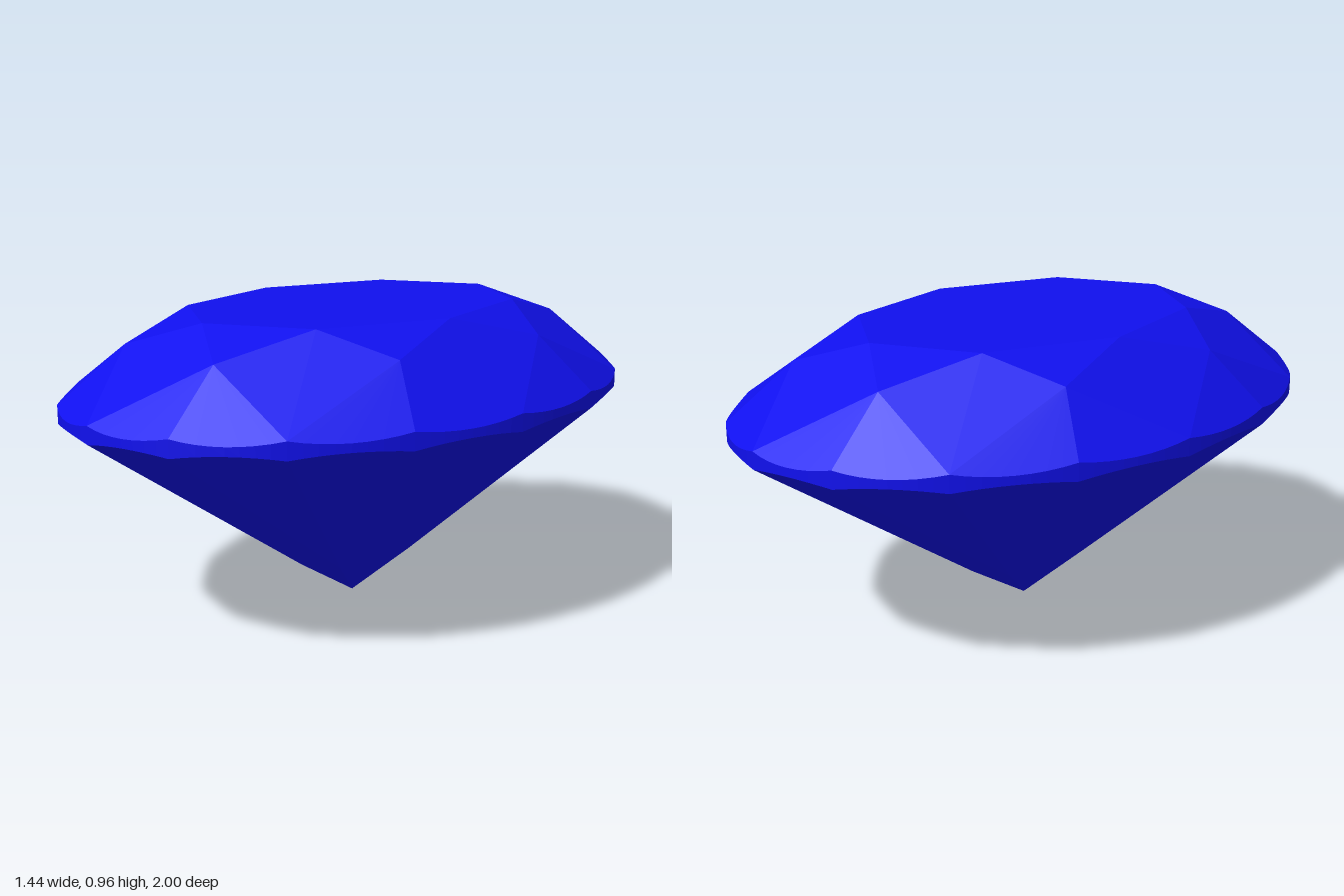
import * as THREE from 'three';

const STEP = Math.PI / 8;    // sixteen girdle divisions
const ARC = 8;               // segments along each girdle scallop
const WIDTH = 0.72;          // oval width relative to length
const TABLE_R = 0.595, TABLE_Y = 0.965;
const STAR_R = 0.78;
const GIRDLE_TOP = 0.725, GIRDLE_BOTTOM = 0.67;
const CULET = new THREE.Vector3(0, 0, 0);
const CENTRE = new THREE.Vector3(0, 0.6, 0);

// Point on the round stone; a counts girdle divisions from the front
const at = (a, r, y) => new THREE.Vector3(Math.sin(a * STEP) * r, y, Math.cos(a * STEP) * r);

// Crown mains set the height of the star points, pavilion mains that of the low points
const crownSlope = (TABLE_Y - GIRDLE_TOP) / (1 - TABLE_R);
const STAR_Y = TABLE_Y - (STAR_R * Math.cos(STEP) - TABLE_R) * crownSlope;
const LOW_R = 0.22;
const LOW_Y = GIRDLE_BOTTOM * LOW_R * Math.cos(STEP);

// Scalloped edge where the plane of a girdle facet cuts the round outline
function scallop(inner, i, y) {
  const plane = new THREE.Plane().setFromCoplanarPoints(inner, at(i, 1, y), at(i + 1, 1, y));
  const n = plane.normal;
  return Array.from({ length: ARC + 1 }, (_, k) => {
    const p = at(i + k / ARC, 1, 0);
    p.y = -(plane.constant + n.x * p.x + n.z * p.z) / n.y;
    return p;
  });
}

// Mesh from flat convex facets, each a loop of points turned to face outwards
function facetMesh(name, facets, material) {
  const pos = [];
  for (const f of facets) {
    for (let i = 1; i < f.length - 1; i++) {
      let [a, b, c] = [f[0], f[i], f[i + 1]];
      const normal = b.clone().sub(a).cross(c.clone().sub(a));
      if (normal.dot(a.clone().sub(CENTRE)) < 0) [b, c] = [c, b];
      for (const p of [a, b, c]) pos.push(p.x * WIDTH, p.y, p.z);
    }
  }
  const geometry = new THREE.BufferGeometry();
  geometry.setAttribute('position', new THREE.Float32BufferAttribute(pos, 3));
  geometry.computeVertexNormals();
  const mesh = new THREE.Mesh(geometry, material);
  mesh.name = name;
  return mesh;
}

export function createModel() {
  const group = new THREE.Group();
  group.name = 'ovalGem';
  const material = new THREE.MeshStandardMaterial({ color: 0x1010ee, flatShading: true });

  const table = [], stars = [], crownMains = [], upperGirdle = [];
  const girdle = [], lowerGirdle = [], pavilionMains = [];

  // Eightfold facets: table, stars, crown kites and pavilion kites
  for (let i = 0; i < 16; i += 2) {
    const corner = at(i, TABLE_R, TABLE_Y);
    table.push(corner);
    stars.push([corner, at(i + 1, STAR_R, STAR_Y), at(i + 2, TABLE_R, TABLE_Y)]);
    crownMains.push([corner, at(i - 1, STAR_R, STAR_Y), at(i, 1, GIRDLE_TOP), at(i + 1, STAR_R, STAR_Y)]);
    pavilionMains.push([CULET, at(i, LOW_R, LOW_Y), at(i + 1, 1, GIRDLE_BOTTOM), at(i + 2, LOW_R, LOW_Y)]);
  }

  // Sixteenfold facets either side of the girdle band
  for (let i = 0; i < 16; i++) {
    const odd = i % 2;
    const star = at(odd ? i : i + 1, STAR_R, STAR_Y);
    const low = at(odd ? i + 1 : i, LOW_R, LOW_Y);
    const top = scallop(star, i, GIRDLE_TOP);
    const bottom = scallop(low, i, GIRDLE_BOTTOM);
    upperGirdle.push([star, ...top]);
    lowerGirdle.push([low, ...bottom]);
    for (let k = 0; k < ARC; k++) girdle.push([top[k], bottom[k], bottom[k + 1], top[k + 1]]);
  }

  const parts = {
    table: [table], starFacets: stars, crownMainFacets: crownMains, upperGirdleFacets: upperGirdle,
    girdle, lowerGirdleFacets: lowerGirdle, pavilionMainFacets: pavilionMains,
  };
  for (const [name, facets] of Object.entries(parts)) group.add(facetMesh(name, facets, material));
  return group;
}
